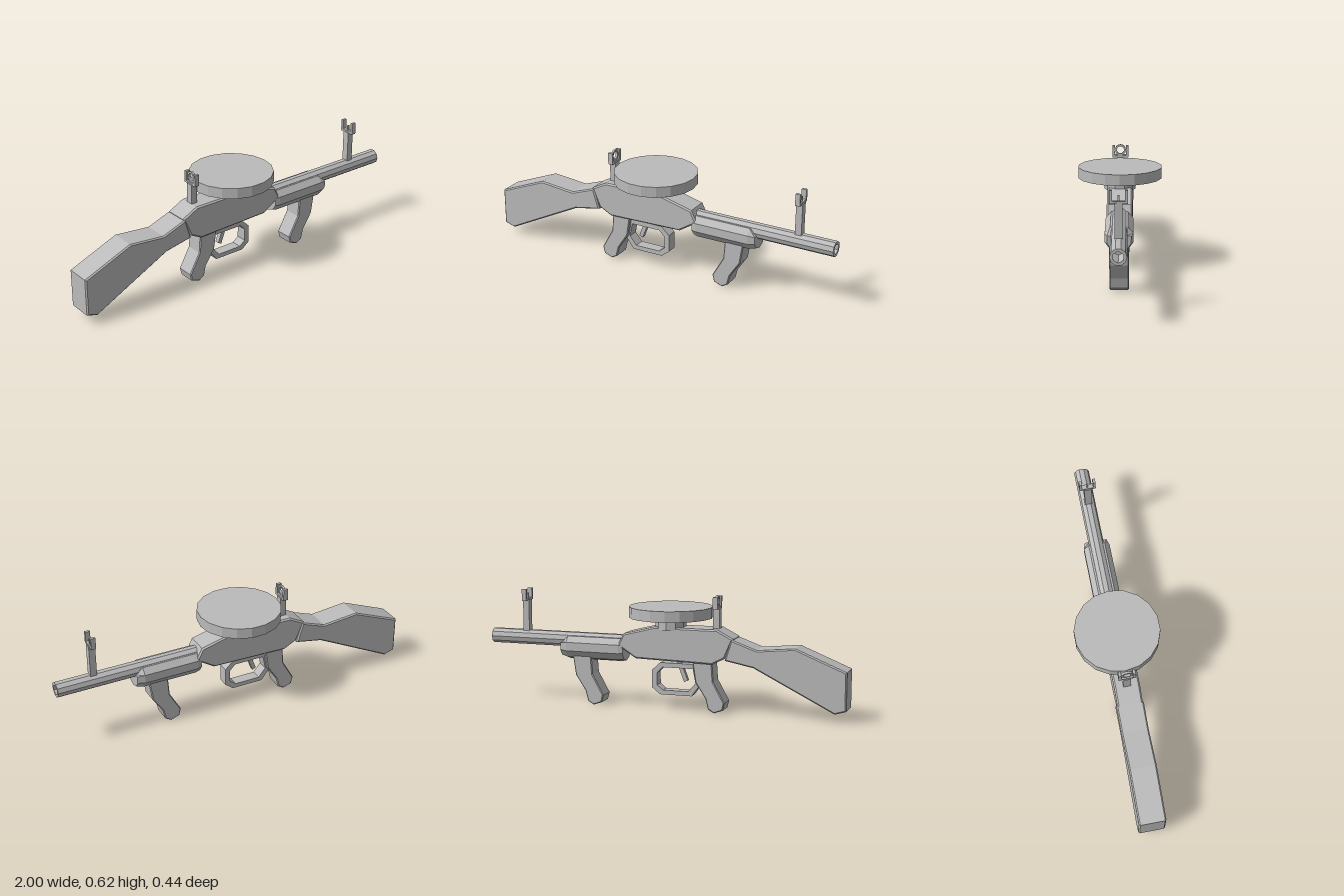
import * as THREE from 'three';

const metal = new THREE.MeshStandardMaterial({ color: 0xbbbbbb, flatShading: true });
metal.name = 'plain grey';

const toPath = (pts, Type = THREE.Shape) => new Type(pts.map(([x, y]) => new THREE.Vector2(x, y)));

const ngon = (n, r, turn = 0, cy = 0) => Array.from({ length: n }, (_, i) => {
  const a = turn + (i / n) * Math.PI * 2;
  return [r * Math.cos(a), cy + r * Math.sin(a)];
});

// Side outline extruded across z, bevelled inward so the outline keeps its size
function plate(outline, halfWidth, bevel = 0, hole = null) {
  const shape = toPath(outline);
  if (hole) shape.holes.push(toPath(hole, THREE.Path));
  const depth = 2 * (halfWidth - bevel);
  const geo = new THREE.ExtrudeGeometry(shape, {
    depth, steps: 1, bevelEnabled: bevel > 0, bevelThickness: bevel,
    bevelSize: bevel, bevelOffset: -bevel, bevelSegments: 1,
  });
  return geo.translate(0, 0, -depth / 2);
}

// Closed solid lofted along x; each section is [x, list of [z, y]]
function loft(sections) {
  const n = sections[0][1].length, pos = [], idx = [];
  for (const [x, ring] of sections) for (const [z, y] of ring) pos.push(x, y, z);
  for (let s = 0; s < sections.length - 1; s++) {
    for (let i = 0; i < n; i++) {
      const a = s * n + i, b = s * n + (i + 1) % n;
      idx.push(a, a + n, b, b, a + n, b + n);
    }
  }
  const last = (sections.length - 1) * n;
  for (let i = 1; i < n - 1; i++) idx.push(0, i, i + 1, last, last + i + 1, last + i);
  const geo = new THREE.BufferGeometry();
  geo.setAttribute('position', new THREE.Float32BufferAttribute(pos, 3));
  geo.setIndex(idx);
  const flat = geo.toNonIndexed();
  flat.computeVertexNormals();
  return flat;
}

export function createModel() {
  const model = new THREE.Group();
  const add = (name, geo, x = 0, y = 0, z = 0, parent = model) => {
    const mesh = new THREE.Mesh(geo, metal);
    mesh.name = name;
    mesh.position.set(x, y, z);
    parent.add(mesh);
    return mesh;
  };

  // Shoulder stock and receiver
  add('stock', plate([
    [-1, 0.065], [-0.94, 0.047], [-0.73, 0.152], [-0.51, 0.262], [-0.355, 0.292],
    [-0.39, 0.405], [-0.527, 0.356], [-0.73, 0.376], [-1, 0.267],
  ], 0.072, 0.007));
  add('receiver', plate([
    [-0.355, 0.302], [-0.286, 0.266], [0.14, 0.276], [0.243, 0.342], [0.21, 0.407],
    [0.035, 0.452], [-0.313, 0.452], [-0.4, 0.407],
  ], 0.067, 0.008));

  // Two matching grips
  const gripGeo = plate([
    [-0.34, 0.02], [-0.293, 0.003], [-0.26, 0.022], [-0.246, 0.078], [-0.19, 0.163],
    [-0.172, 0.28], [-0.28, 0.28], [-0.288, 0.171], [-0.35, 0.06],
  ], 0.05, 0.005);
  add('rearGrip', gripGeo);
  add('frontGrip', gripGeo, 0.683);

  // Trigger and its guard
  add('triggerGuard', plate(
    [[-0.163, 0.083], [0.013, 0.083], [0.058, 0.118], [0.058, 0.214], [0.013, 0.256], [-0.19, 0.256], [-0.217, 0.155]],
    0.03, 0,
    [[-0.145, 0.107], [-0.003, 0.107], [0.03, 0.133], [0.03, 0.2], [0, 0.231], [-0.17, 0.231], [-0.185, 0.155]],
  ));
  add('trigger', plate([[-0.136, 0.163], [-0.116, 0.154], [-0.07, 0.275], [-0.095, 0.275]], 0.012));

  // Hollow ten-sided barrel with a closed bore
  const tube = toPath(ngon(10, 0.0415, Math.PI / 10 - Math.PI / 10));
  tube.holes.push(toPath(ngon(6, 0.028, Math.PI / 2), THREE.Path));
  const barrelGeo = new THREE.ExtrudeGeometry(tube, { depth: 0.85, bevelEnabled: false });
  add('barrel', barrelGeo.rotateY(Math.PI / 2), 0.15, 0.352);
  const plug = new THREE.CylinderGeometry(0.032, 0.032, 0.7, 10).rotateZ(Math.PI / 2);
  add('boreEnd', plug, 0.52, 0.352);

  // Faceted handguard, open at the top where the barrel lies, tapered at its ends
  const half = ngon(10, 0.075, -Math.PI / 2).filter(([, y]) => y < 0.07);
  const section = (scale, topLimit) => half.map(([z, y]) =>
    [z * scale, 0.32 + Math.min(y * scale, topLimit)]);
  add('handguard', loft([
    [0.215, section(0.92, 0.055)], [0.24, section(1, 0.055)],
    [0.54, section(1, 0.055)], [0.578, section(0.84, 0.018)],
  ]));

  // Drum magazine on its neck
  const drum = new THREE.CylinderGeometry(0.224, 0.224, 0.058, 18).rotateY(Math.PI / 2);
  add('drumMagazine', drum, -0.038, 0.529);
  add('magazineNeck', new THREE.CylinderGeometry(0.082, 0.082, 0.07, 10), -0.038, 0.471);

  // Sights: a post with a crossbar and two protecting ears
  const makeSight = (name, x, bottom) => {
    const sight = new THREE.Group();
    sight.name = name;
    sight.position.x = x;
    model.add(sight);
    add('sightPost', new THREE.BoxGeometry(0.035, 0.56 - bottom, 0.038), 0, (0.56 + bottom) / 2, 0, sight);
    add('sightCrossbar', new THREE.BoxGeometry(0.026, 0.012, 0.086), 0, 0.562, 0, sight);
    for (const side of [-1, 1]) {
      add('sightEar', new THREE.BoxGeometry(0.026, 0.063, 0.014), 0, 0.589, side * 0.037, sight);
    }
    return sight;
  };
  const front = makeSight('frontSight', 0.798, 0.37);
  add('sightBlade', new THREE.BoxGeometry(0.012, 0.04, 0.008), 0, 0.576, 0, front);
  const rear = makeSight('rearSight', -0.295, 0.43);
  const ring = plate(ngon(16, 0.03), 0.006, 0, ngon(16, 0.02)).rotateY(Math.PI / 2);
  add('sightRing', ring, 0, 0.596, 0, rear);

  return model;
}
